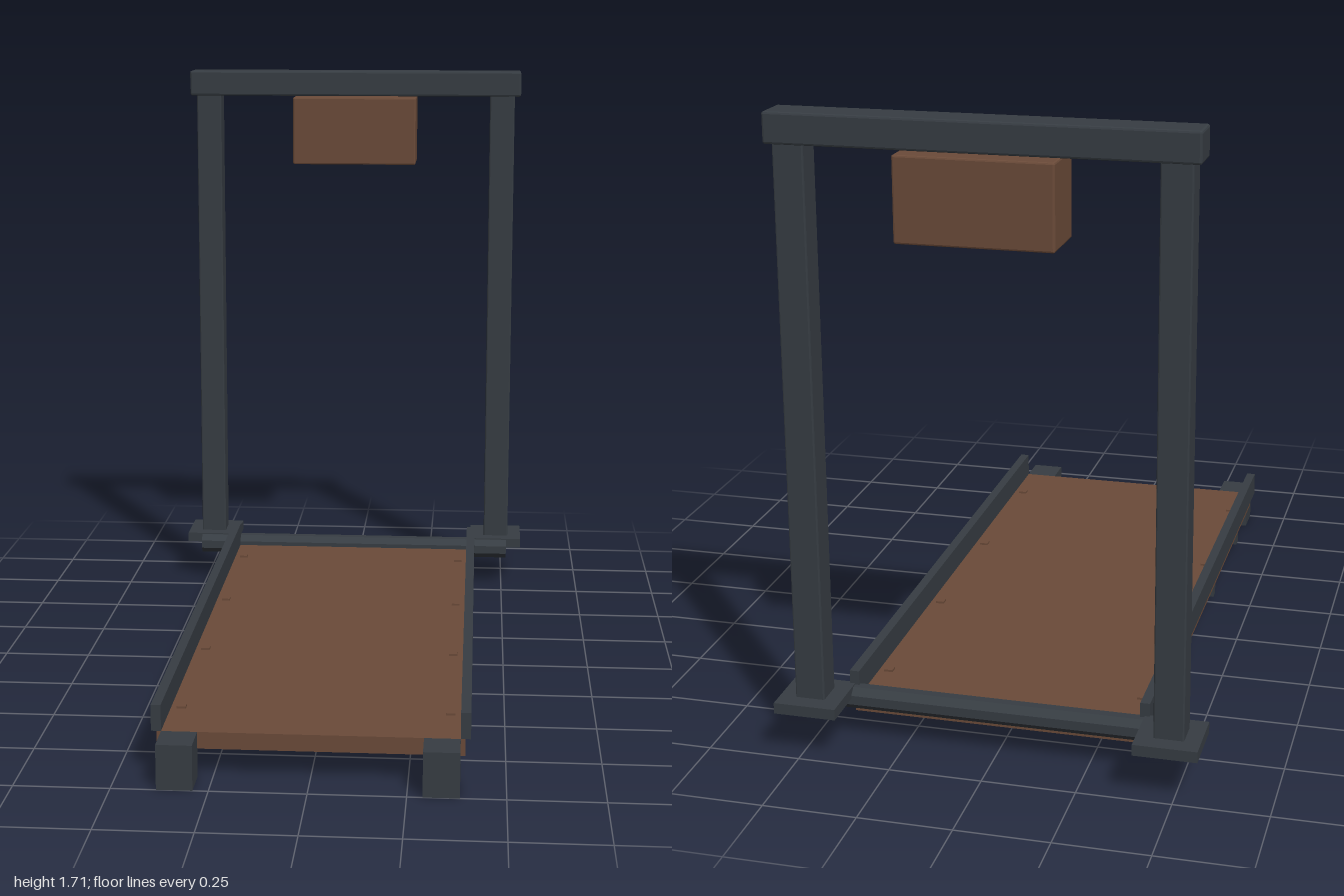
import * as THREE from 'three';
import { RoundedBoxGeometry } from 'three/addons/geometries/RoundedBoxGeometry.js';

export function createModel() {
  const model = new THREE.Group();
  model.name = 'drawbridge';

  const iron = new THREE.MeshStandardMaterial({ color: 0x373d43, flatShading: true });
  iron.name = 'dark iron';
  const wood = new THREE.MeshStandardMaterial({ color: 0x6b4b39, flatShading: true });
  wood.name = 'brown wood';

  function add(name, geometry, material, x, y, z) {
    const mesh = new THREE.Mesh(geometry, material);
    mesh.name = name;
    mesh.position.set(x, y, z);
    model.add(mesh);
    return mesh;
  }

  // Box given by its extents on each axis, with an optional small bevel
  function box(name, material, [x0, x1], [y0, y1], [z0, z1], bevel = 0) {
    const size = [x1 - x0, y1 - y0, z1 - z0];
    const geometry = bevel
      ? new RoundedBoxGeometry(...size, 1, bevel)
      : new THREE.BoxGeometry(...size);
    return add(name, geometry, material, (x0 + x1) / 2, (y0 + y1) / 2, (z0 + z1) / 2);
  }

  // Deck with cross beams beneath
  box('deck', wood, [-0.395, 0.395], [0.075, 0.12], [-0.84, 0.905]);
  for (const z of [0.675, 0.24, -0.17, -0.607]) {
    box('crossBeam', iron, [-0.39, 0.39], [0.03, 0.075], [z - 0.016, z + 0.016]);
  }

  // Hinge bar
  const hinge = new THREE.CylinderGeometry(0.033, 0.033, 1.03, 8);
  hinge.rotateY(Math.PI / 8);
  hinge.rotateZ(Math.PI / 2);
  add('hingeBar', hinge, iron, 0, 0.12, -0.842);

  // Gate frame and counterweight
  box('topBeam', iron, [-0.54, 0.54], [1.63, 1.71], [-0.963, -0.86], 0.006);
  box('counterweight', wood, [-0.2, 0.2], [1.41, 1.627], [-1, -0.83], 0.005);

  // Paired parts on both sides
  for (const side of [-1, 1]) {
    const span = (a, b) => (side > 0 ? [a, b] : [-b, -a]);
    box('post', iron, span(0.44, 0.52), [0.15, 1.635], [-0.952, -0.873], 0.004);
    box('basePlate', iron, span(0.395, 0.563), [0.124, 0.154], [-1, -0.832]);
    box('sideRail', iron, span(0.383, 0.409), [0.12, 0.19], [-0.84, 0.905]);
    box('frontFoot', iron, span(0.29, 0.383), [0, 0.12], [0.905, 1]);
    for (const z of [-0.675, -0.205, 0.26, 0.73]) {
      box('bolt', wood, span(0.343, 0.367), [0.118, 0.126], [z - 0.012, z + 0.012]);
    }
  }
  return model;
}
